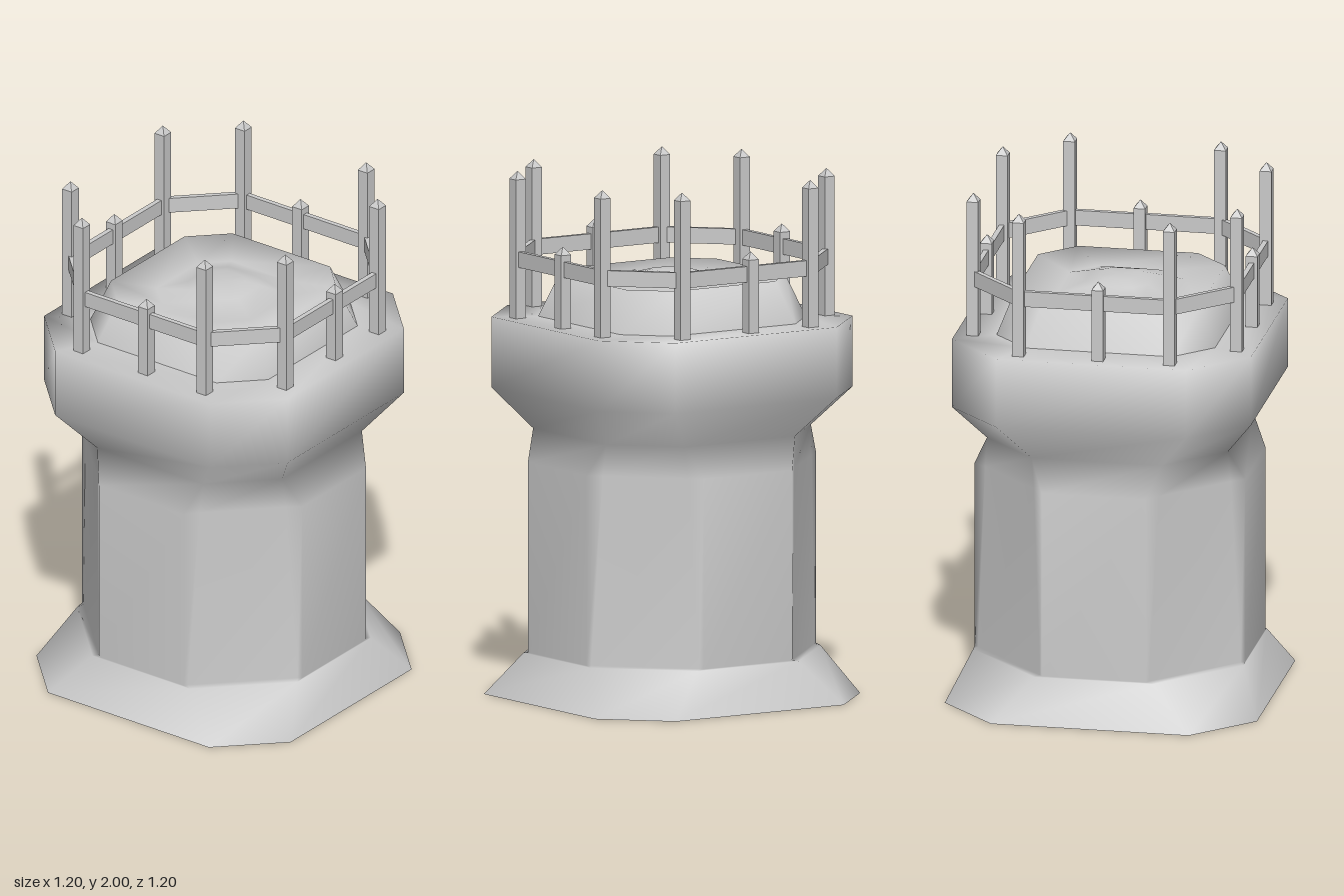
import * as THREE from 'three';

const grey = new THREE.MeshStandardMaterial({ color: 0xcccccc, side: THREE.DoubleSide });
const faceted = new THREE.MeshStandardMaterial({ color: 0xcccccc, flatShading: true });

// One quarter of a cross-section, repeated around y. h, c: flat side and its half width;
// d, e: inset corner points beside the flat (equal to h, c for a plain octagon).
function section([y, h, c, d = h, e = c]) {
  const quarter = [[h, -c], [h, c], [d, e], [e, d]];
  const ring = [];
  for (let k = 0; k < 4; k++) {
    for (const [x, z] of quarter) {
      const a = k * Math.PI / 2, s = Math.sin(a), co = Math.cos(a);
      ring.push([x * co - z * s, y, x * s + z * co]);
    }
  }
  return ring;
}

// Smooth skin through a stack of cross-sections, optionally closed on top
function loft(name, sections, capped) {
  const n = 16, pos = [], index = [];
  for (const s of sections) for (const p of section(s)) pos.push(...p);
  for (let r = 0; r < sections.length - 1; r++) {
    for (let i = 0; i < n; i++) {
      const a = r * n + i, b = r * n + (i + 1) % n;
      index.push(a, a + n, b, b, a + n, b + n);
    }
  }
  if (capped) {
    const base = (sections.length - 1) * n, top = pos.length / 3;
    pos.push(0, sections[sections.length - 1][0], 0);
    for (let i = 0; i < n; i++) index.push(base + i, top, base + (i + 1) % n);
  }
  // Merge normals of coincident corner points by sharing one vertex per position
  const first = new Map(), remap = [];
  for (let i = 0; i < pos.length / 3; i++) {
    const key = pos.slice(i * 3, i * 3 + 3).map(v => Math.round(v * 1e4)).join();
    if (!first.has(key)) first.set(key, i);
    remap.push(first.get(key));
  }
  const tris = [];
  for (let i = 0; i < index.length; i += 3) {
    const t = [remap[index[i]], remap[index[i + 1]], remap[index[i + 2]]];
    if (new Set(t).size === 3) tris.push(...t);
  }
  const g = new THREE.BufferGeometry();
  g.setAttribute('position', new THREE.Float32BufferAttribute(pos, 3));
  g.setIndex(tris);
  g.computeVertexNormals();
  const mesh = new THREE.Mesh(g, grey);
  mesh.name = name;
  return mesh;
}

// Square post with a pyramid tip
function post(name, x, z, top) {
  const group = new THREE.Group();
  group.name = name;
  const w = 0.045, tip = 0.03, foot = 1.43, h = top - tip - foot;
  const shaft = new THREE.Mesh(new THREE.BoxGeometry(w, h, w), faceted);
  shaft.position.y = foot + h / 2;
  shaft.name = 'postShaft';
  const point = new THREE.Mesh(new THREE.ConeGeometry(w * Math.SQRT1_2, tip, 4), faceted);
  point.rotation.y = Math.PI / 4;
  point.position.y = top - tip / 2;
  point.name = 'postTip';
  group.add(shaft, point);
  group.position.set(x, 0, z);
  return group;
}

export function createModel() {
  const model = new THREE.Group();
  model.name = 'tower';

  // Flared foot, shaft with slim side panels, neck, overhanging platform
  model.add(loft('towerBody', [
    [0, 0.6, 0.38],
    [0.17, 0.52, 0.23],
    [0.175, 0.52, 0.2, 0.505, 0.21],
    [0.9, 0.52, 0.2, 0.472, 0.24],
    [1.02, 0.463, 0.25],
    [1.17, 0.575, 0.365],
    [1.44, 0.575, 0.365],
    [1.44, 0.42, 0.28],
  ], false));

  // Low mound on the platform, slightly dished around its centre
  model.add(loft('roofMound', [
    [1.44, 0.42, 0.28],
    [1.6, 0.36, 0.23],
    [1.57, 0.22, 0.13],
    [1.605, 0.12, 0.07],
    [1.62, 0.07, 0.04],
  ], true));

  // Fence: tall posts at the octagon corners joined by rails
  const a = 0.29, b = 0.507;
  const corners = [[a, b], [b, a], [b, -a], [a, -b], [-a, -b], [-b, -a], [-b, a], [-a, b]];
  corners.forEach(([x, z], i) => {
    model.add(post('tallPost', x, z, 2));
    const [x2, z2] = corners[(i + 1) % 8];
    const rail = new THREE.Mesh(
      new THREE.BoxGeometry(Math.hypot(x2 - x, z2 - z) + 0.01, 0.06, 0.02), faceted);
    rail.position.set((x + x2) / 2, 1.665, (z + z2) / 2);
    rail.rotation.y = -Math.atan2(z2 - z, x2 - x);
    rail.name = 'fenceRail';
    model.add(rail);
  });

  // Short posts near the middle of each side
  for (const [x, z] of [[0.015, b], [b, -0.02], [-0.02, -b], [-b, 0.015]]) {
    model.add(post('shortPost', x, z, 1.75));
  }
  return model;
}
